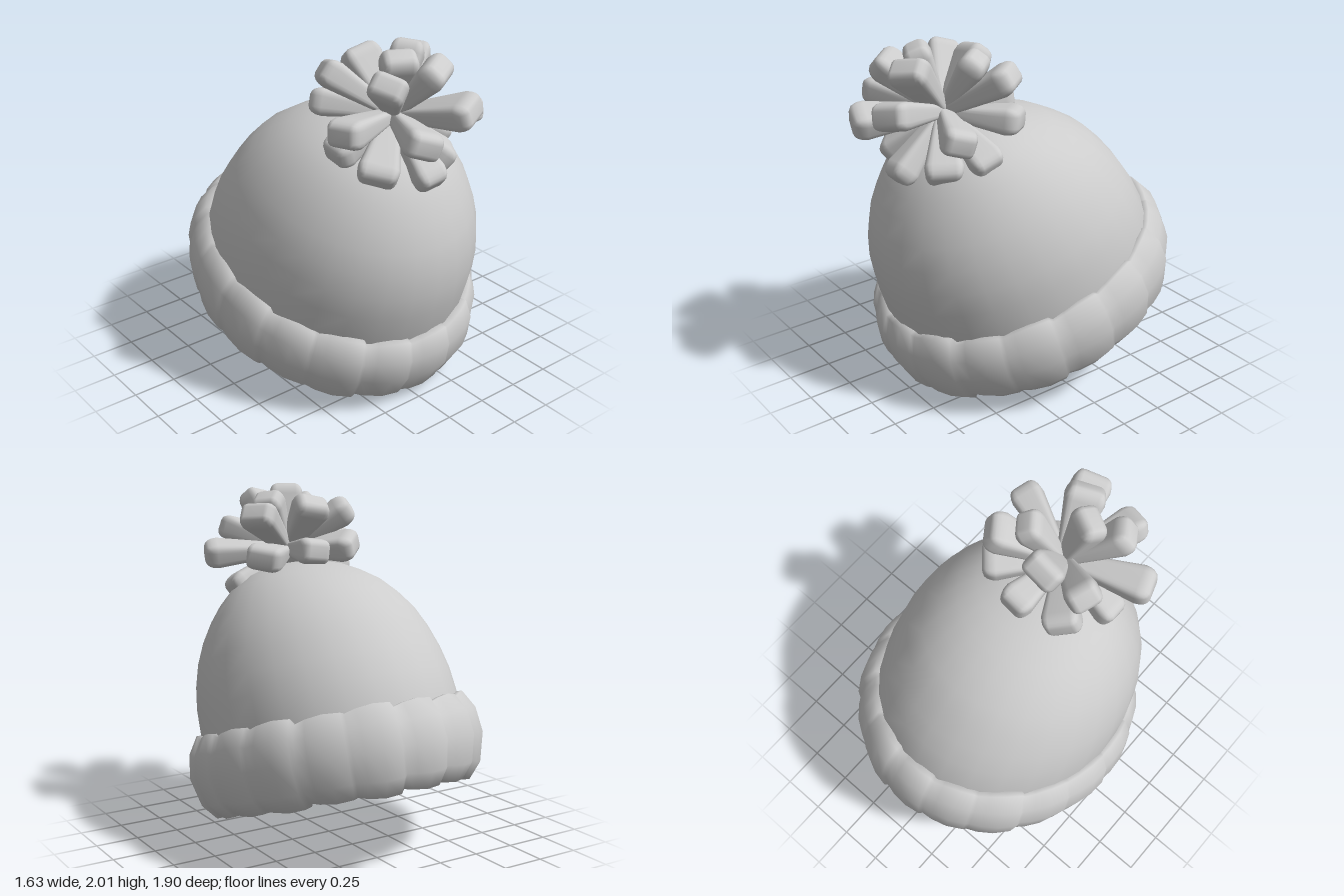
import * as THREE from 'three';
import { mergeVertices } from 'three/addons/utils/BufferGeometryUtils.js';
import { RoundedBoxGeometry } from 'three/addons/geometries/RoundedBoxGeometry.js';

const wool = new THREE.MeshStandardMaterial({ color: 0xcccccc, side: THREE.DoubleSide });
wool.name = 'grey wool';

// Skin between rings of points; each ring is closed, the run of rings may be closed too
function loft(rings, closed) {
  const n = rings[0].length, m = rings.length, index = [];
  for (let i = 0; i < (closed ? m : m - 1); i++) {
    for (let j = 0; j < n; j++) {
      const k = (i + 1) % m, l = (j + 1) % n;
      const a = i * n + j, b = k * n + j, c = k * n + l, d = i * n + l;
      index.push(a, b, d, b, c, d);
    }
  }
  const geo = new THREE.BufferGeometry();
  geo.setAttribute('position', new THREE.Float32BufferAttribute(rings.flat(2), 3));
  geo.setIndex(index);
  geo.computeVertexNormals();
  return geo;
}

function add(parent, geo, name) {
  const mesh = new THREE.Mesh(geo, wool);
  mesh.name = name;
  parent.add(mesh);
  return mesh;
}

// Dome: elliptical sections [height, half width, back z, front z]
function domeGeometry() {
  const sections = [
    [0.3, 0.68, -0.98, 0.56], [0.5, 0.71, -1.02, 0.6], [0.66, 0.72, -1.025, 0.615],
    [0.82, 0.715, -0.99, 0.615], [0.95, 0.695, -0.945, 0.6], [1.08, 0.66, -0.885, 0.565],
    [1.2, 0.61, -0.815, 0.51], [1.31, 0.545, -0.715, 0.435], [1.4, 0.475, -0.615, 0.36],
    [1.47, 0.4, -0.5, 0.285], [1.53, 0.31, -0.38, 0.2], [1.57, 0.2, -0.26, 0.1],
    [1.585, 0.1, -0.16, 0.01], [1.588, 0.001, -0.076, -0.074]];
  return loft(sections.map(([y, a, back, front]) =>
    Array.from({ length: 28 }, (_, j) => {
      const t = (j / 28) * Math.PI * 2;
      return [a * Math.cos(t), y, (front + back) / 2 + ((front - back) / 2) * Math.sin(t)];
    })), false);
}

// Rolled cuff: one profile swept round an ellipse, with overlapping ribs
function cuffGeometry() {
  const profile = [
    [-0.07, 0.655], [-0.015, 0.56], [0, 0.43], [-0.04, 0.28], [-0.11, 0.2],
    [-0.2, 0.205], [-0.275, 0.29], [-0.25, 0.42], [-0.19, 0.56], [-0.13, 0.655]];
  const ribs = 18, rings = [];
  for (let k = 0; k < ribs; k++) {
    const wobble = 0.03 * Math.sin(k * 2.4);
    for (const [t, size] of [[0, 1.02], [0.35, 1.05], [0.7, 1.0], [0.92, 0.93]]) {
      const angle = ((k + t) / ribs) * Math.PI * 2;
      rings.push(profile.map(([d, y]) => {
        const out = -0.13 + (d + 0.13) * (size + wobble);
        const h = 0.42 + (y - 0.42) * (size + wobble);
        return [(0.81 + out) * Math.cos(angle), h, -0.205 + (0.92 + out) * Math.sin(angle)];
      }));
    }
  }
  return loft(rings, true);
}

// Pompom strand: rounded block, narrow at its root and slightly drawn in at its tip
function strandGeometry(length, width, depth) {
  let geo = new RoundedBoxGeometry(width, length, depth, 2, 0.045);
  // Extra side loops come from remapping the rounded corners along the length
  geo.translate(0, length / 2, 0);
  const p = geo.attributes.position;
  for (let i = 0; i < p.count; i++) {
    const t = p.getY(i) / length;
    const s = t < 0.5 ? 0.45 : 1;
    p.setX(i, p.getX(i) * s);
    p.setZ(i, p.getZ(i) * s);
    // the tip's rounding is stretched so the widest part sits further back
    if (t > 0.5) p.setY(i, length * (1 - (1 - t) * 1.7));
  }
  geo.deleteAttribute('normal');
  geo.deleteAttribute('uv');
  geo = mergeVertices(geo, 1e-4);
  geo.computeVertexNormals();
  return geo;
}

export function createModel() {
  const hat = new THREE.Group();
  hat.name = 'knitHat';

  // Cap leans forward
  const cap = new THREE.Group();
  cap.name = 'cap';
  cap.rotation.x = 0.316;
  hat.add(cap);
  add(cap, domeGeometry(), 'dome');
  add(cap, cuffGeometry(), 'cuff');

  // Pompom: strands fan out from one knot to these tips
  const pompom = new THREE.Group();
  pompom.name = 'pompom';
  hat.add(pompom);
  const knot = new THREE.Vector3(0, 1.62, 0.47);
  const tips = [
    [-0.07, 1.99, 0.6], [0.08, 1.94, 0.75], [-0.25, 1.9, 0.71], [0.2, 1.95, 0.37],
    [0.34, 1.87, 0.25], [-0.04, 1.92, 0.21], [-0.31, 1.88, 0.26], [0.03, 1.64, 0.06],
    [0.33, 1.6, 0.19], [-0.27, 1.66, 0.13], [0.45, 1.6, 0.66], [-0.48, 1.66, 0.63],
    [0.16, 1.73, 0.92], [-0.17, 1.61, 0.93], [0.02, 1.31, 0.79], [0.26, 1.34, 0.64],
    [-0.27, 1.36, 0.66], [0.39, 1.4, 0.43], [-0.39, 1.47, 0.45]];
  tips.forEach((tip, i) => {
    const dir = new THREE.Vector3(...tip).sub(knot);
    const length = dir.length();
    dir.normalize();
    const side = new THREE.Vector3(0, 1, 0).cross(dir).normalize();
    const face = side.clone().cross(dir);
    const strand = add(pompom,
      strandGeometry(length, 0.2 + 0.02 * Math.sin(i * 1.7), 0.15), 'strand');
    strand.quaternion.setFromRotationMatrix(new THREE.Matrix4().makeBasis(side, dir, face));
    strand.rotateY(0.35 * Math.sin(i * 2.3));
    strand.position.copy(knot);
  });
  return hat;
}
